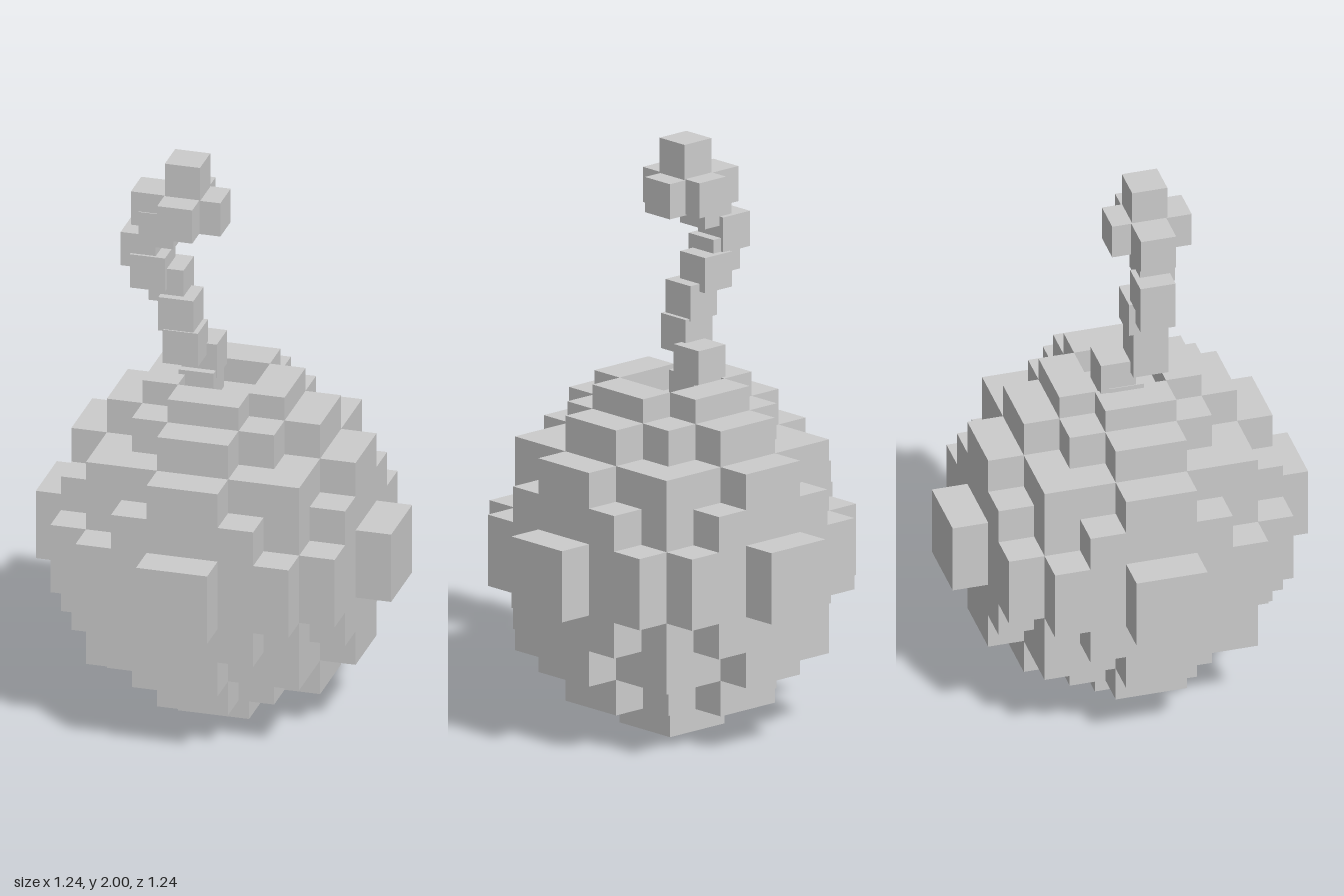
import * as THREE from 'three';
import { mergeGeometries } from 'three/addons/utils/BufferGeometryUtils.js';

const V = 0.1235;       // body cube size
const CENTRE_Y = 0.622; // height of the ball's middle
const FUSE = 0.122;     // fuse cube size

const material = new THREE.MeshStandardMaterial({ color: 0xcccccc, flatShading: true });

function addBox(parent, name, size, position) {
  const mesh = new THREE.Mesh(new THREE.BoxGeometry(...size), material);
  mesh.name = name;
  mesh.position.set(...position);
  parent.add(mesh);
}

// Is the cube at grid cell (-5..4 on each axis) part of the stepped ball?
function filled(x, y, z) {
  if (y === 4) return false; // the top is open for the neck
  const [a, b, c] = [x, y, z].map((n) => (n < 0 ? -n - 1 : n)).sort((p, q) => q - p);
  return a <= 2 || (a === 3 && b + c <= 2) || (a === 4 && b === 0);
}

// Outer skin of the ball: one square for every exposed cube face
function ballGeometry() {
  const directions = [[1, 0, 0], [-1, 0, 0], [0, 1, 0], [0, -1, 0], [0, 0, 1], [0, 0, -1]];
  const forward = new THREE.Vector3(0, 0, 1);
  const squares = directions.map((d) => {
    const turn = new THREE.Quaternion().setFromUnitVectors(forward, new THREE.Vector3(...d));
    return new THREE.PlaneGeometry(V, V).translate(0, 0, V / 2).applyQuaternion(turn);
  });
  const faces = [];
  for (let x = -5; x < 5; x++)
    for (let y = -5; y < 5; y++)
      for (let z = -5; z < 5; z++) {
        if (!filled(x, y, z)) continue;
        directions.forEach(([dx, dy, dz], i) => {
          if (filled(x + dx, y + dy, z + dz)) return;
          faces.push(squares[i].clone().translate((x + 0.5) * V, (y + 0.5) * V, (z + 0.5) * V));
        });
      }
  return mergeGeometries(faces);
}

export function createModel() {
  const model = new THREE.Group();

  // Stepped ball
  const ball = new THREE.Mesh(ballGeometry(), material);
  ball.name = 'ball';
  ball.position.y = CENTRE_Y;
  model.add(ball);

  // Low neck ring of four bars around the fuse hole
  const neck = new THREE.Group();
  neck.name = 'neckRing';
  const neckBase = CENTRE_Y + 4 * V;
  const neckHeight = 1.2 - neckBase;
  for (const side of [-1, 1]) {
    const y = neckBase + neckHeight / 2;
    addBox(neck, 'neckSideBar', [V, neckHeight, 2 * V], [side * 1.5 * V, y, 0]);
    addBox(neck, 'neckEndBar', [2 * V, neckHeight, V], [0, y, side * 1.5 * V]);
  }
  model.add(neck);

  // Crooked fuse, from the hole upwards
  const fuse = new THREE.Group();
  fuse.name = 'fuse';
  const fuseCubes = [
    [-0.085, 1.155, -0.02], [-0.082, 1.25, -0.047], [-0.118, 1.33, 0.055],
    [-0.135, 1.445, 0.05], [-0.177, 1.54, 0.023], [-0.235, 1.587, 0.045],
    [-0.27, 1.66, 0.035], [-0.203, 1.75, 0.053],
  ];
  fuseCubes.forEach((p) => addBox(fuse, 'fuseCube', [FUSE, FUSE, FUSE], p));
  model.add(fuse);

  // Spark cluster at the fuse's tip
  const spark = new THREE.Group();
  spark.name = 'spark';
  const sparkCubes = [
    [-0.111, 1.939, 0.053], [-0.113, 1.82, 0.137], [-0.113, 1.82, -0.017],
    [-0.23, 1.82, 0.049], [-0.041, 1.817, 0.05],
  ];
  sparkCubes.forEach((p) => addBox(spark, 'sparkCube', [FUSE, FUSE, FUSE], p));
  model.add(spark);

  return model;
}
